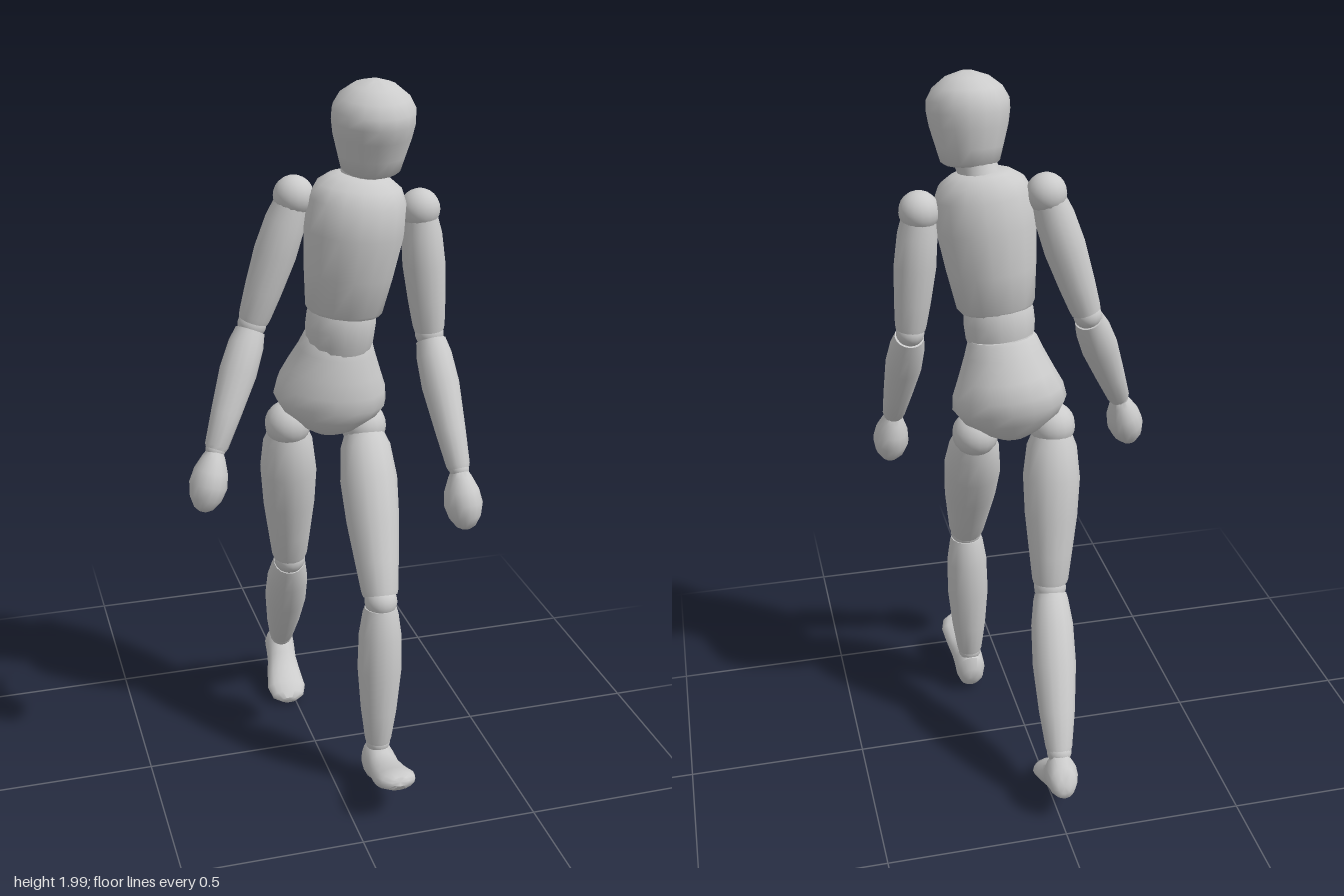
import * as THREE from 'three';
import { toCreasedNormals } from 'three/addons/utils/BufferGeometryUtils.js';

const V = (x, y, z) => new THREE.Vector3(x, y, z);
const material = new THREE.MeshStandardMaterial({ color: 0xcccccc });
const SIDES = 16;

// Closed loft along +y; each ring is [fraction, radiusX, radiusZ, offsetX, offsetZ]
function loft(rings, length) {
  const pos = [], index = [];
  const ringCentre = ([t, , , cx = 0, cz = 0]) => [cx, t * length, cz];
  for (const ring of rings) {
    const [cx, y, cz] = ringCentre(ring);
    const [, rx, rz = rx] = ring;
    for (let i = 0; i < SIDES; i++) {
      const a = (i / SIDES) * Math.PI * 2;
      pos.push(cx + rx * Math.cos(a), y, cz + rz * Math.sin(a));
    }
  }
  for (let j = 0; j < rings.length - 1; j++) {
    for (let i = 0; i < SIDES; i++) {
      const n = (i + 1) % SIDES;
      const a = j * SIDES + i, b = j * SIDES + n;
      index.push(a, a + SIDES, b, b, a + SIDES, b + SIDES);
    }
  }
  // End caps
  const low = pos.length / 3, high = low + 1, last = (rings.length - 1) * SIDES;
  pos.push(...ringCentre(rings[0]), ...ringCentre(rings[rings.length - 1]));
  for (let i = 0; i < SIDES; i++) {
    const n = (i + 1) % SIDES;
    index.push(low, i, n, high, last + n, last + i);
  }
  const g = new THREE.BufferGeometry();
  g.setAttribute('position', new THREE.Float32BufferAttribute(pos, 3));
  g.setIndex(index);
  return toCreasedNormals(g, 0.9);
}

function addMesh(parent, name, geometry) {
  const mesh = new THREE.Mesh(geometry, material);
  mesh.name = name;
  parent.add(mesh);
  return mesh;
}

// Loft standing on the line from bottom to top, turned about its own axis
function solid(parent, name, bottom, top, rings, yaw = 0) {
  const dir = top.clone().sub(bottom);
  const mesh = addMesh(parent, name, loft(rings, dir.length()));
  mesh.position.copy(bottom);
  mesh.quaternion.setFromUnitVectors(V(0, 1, 0), dir.normalize());
  mesh.quaternion.multiply(new THREE.Quaternion().setFromAxisAngle(V(0, 1, 0), yaw));
  return mesh;
}

function ball(parent, name, centre, radius) {
  addMesh(parent, name, new THREE.SphereGeometry(radius, 16, 12)).position.copy(centre);
}

// Limb profiles, from the lower end upwards
const UPPER_ARM = [[0, 0.04], [0.04, 0.043], [0.25, 0.05], [0.55, 0.057], [0.8, 0.054], [1, 0.042]];
const FOREARM = [[0, 0.028], [0.03, 0.032], [0.3, 0.041], [0.65, 0.051], [0.88, 0.048], [1, 0.04]];
const THIGH = [[0, 0.048], [0.03, 0.052], [0.2, 0.061], [0.45, 0.074], [0.7, 0.08], [0.9, 0.07], [1, 0.052]];
const SHIN = [[0, 0.034], [0.03, 0.038], [0.25, 0.051], [0.55, 0.062], [0.8, 0.06], [0.96, 0.05], [1, 0.045]];
const HAND = [[0, 0.012], [0.05, 0.028], [0.2, 0.046], [0.42, 0.056], [0.65, 0.05], [0.87, 0.034], [1, 0.022]];
// Foot rings from heel to toe; negative z offset is the height above the sole
const FOOT = [
  [0, 0.018, 0.022, 0, -0.045], [0.04, 0.035, 0.045, 0, -0.052], [0.14, 0.045, 0.062, 0, -0.063],
  [0.28, 0.045, 0.06, 0, -0.06], [0.42, 0.046, 0.044, 0, -0.046], [0.6, 0.053, 0.034, 0, -0.037],
  [0.8, 0.059, 0.03, 0, -0.034], [0.93, 0.049, 0.025, 0, -0.032], [1, 0.024, 0.012, 0, -0.032],
];

function arm(parent, side, shoulder, elbow, wrist, fingertip) {
  const g = new THREE.Group();
  g.name = side + 'Arm';
  parent.add(g);
  ball(g, 'shoulderJoint', shoulder, 0.054);
  solid(g, 'upperArm', elbow.clone().lerp(shoulder, 0.03), shoulder, UPPER_ARM);
  ball(g, 'elbowJoint', elbow, 0.039);
  solid(g, 'forearm', wrist, elbow.clone().lerp(wrist, 0.05), FOREARM);
  ball(g, 'wristJoint', wrist, 0.027);
  solid(g, 'hand', fingertip, wrist, HAND.map(([t, r]) => [t, r * 0.92, r * 1.05]));
}

function leg(parent, side, hip, knee, ankle, heel, toe) {
  const g = new THREE.Group();
  g.name = side + 'Leg';
  parent.add(g);
  ball(g, 'hipJoint', hip, 0.064);
  solid(g, 'thigh', knee.clone().lerp(hip, 0.03), hip.clone().lerp(knee, 0.03), THIGH);
  ball(g, 'kneeJoint', knee, 0.046);
  solid(g, 'shin', ankle, knee.clone().lerp(ankle, 0.04), SHIN);
  ball(g, 'ankleJoint', ankle, 0.035);
  const dir = toe.clone().sub(heel);
  const foot = addMesh(g, 'foot', loft(FOOT, dir.length()));
  const y = dir.normalize();
  const x = V(1, 0, 0).addScaledVector(y, -y.x).normalize();
  foot.quaternion.setFromRotationMatrix(
    new THREE.Matrix4().makeBasis(x, y, x.clone().cross(y)));
  foot.position.copy(heel);
}

export function createModel() {
  const model = new THREE.Group();
  model.name = 'walkingMannequin';

  // Head and neck
  solid(model, 'head', V(0.125, 1.767, 0.08), V(0.125, 2.0, 0.11), [
    [0, 0.066], [0.03, 0.077], [0.2, 0.088, 0.087], [0.42, 0.102, 0.104], [0.58, 0.108, 0.111, 0, 0.004],
    [0.7, 0.107, 0.109, 0, 0.003], [0.83, 0.09, 0.093], [0.94, 0.057], [1, 0.015],
  ], -0.15);
  solid(model, 'neck', V(0.102, 1.73, 0.05), V(0.12, 1.79, 0.068), [[0, 0.057], [0.5, 0.053], [1, 0.055]]);

  // Chest, waist and pelvis
  solid(model, 'chest', V(0.07, 1.385, 0.035), V(0.105, 1.757, 0.055), [
    [0, 0.098, 0.085], [0.025, 0.105, 0.091], [0.3, 0.12, 0.109, 0, 0.005], [0.6, 0.133, 0.121, 0, 0.01],
    [0.82, 0.129, 0.11, 0, 0.01], [0.92, 0.112, 0.09, 0, 0.005], [0.98, 0.08, 0.066], [1, 0.055, 0.05],
  ], -0.15);
  solid(model, 'waist', V(0.063, 1.28, 0.02), V(0.065, 1.4, 0.03),
    [[0, 0.084, 0.077], [0.2, 0.092, 0.083], [0.55, 0.096, 0.087], [0.85, 0.093, 0.084], [1, 0.086, 0.078]], -0.15);
  solid(model, 'pelvis', V(0.037, 1.028, -0.02), V(0.062, 1.312, 0.008), [
    [0, 0.045, 0.045], [0.08, 0.085, 0.083], [0.22, 0.136, 0.112, 0, -0.003], [0.34, 0.157, 0.125, 0, -0.006],
    [0.48, 0.151, 0.129, 0, -0.009], [0.65, 0.13, 0.119, 0, -0.008], [0.85, 0.106, 0.097],
    [0.97, 0.094, 0.085], [1, 0.088, 0.079],
  ], -0.15);

  // Limbs in mid stride
  arm(model, 'left', V(0.265, 1.655, 0.066), V(0.297, 1.315, 0.08), V(0.327, 0.99, 0.262), V(0.338, 0.832, 0.307));
  arm(model, 'right', V(-0.06, 1.697, 0.01), V(-0.172, 1.355, -0.005), V(-0.3, 1.05, 0.098), V(-0.347, 0.892, 0.137));
  leg(model, 'left', V(0.14, 1.035, -0.003), V(0.128, 0.597, 0.222), V(0.12, 0.155, 0.243),
    V(0.12, 0.015, 0.228), V(0.12, 0.125, 0.462));
  leg(model, 'right', V(-0.07, 1.05, -0.03), V(-0.045, 0.585, -0.12), V(-0.014, 0.19, -0.358),
    V(-0.008, 0.095, -0.462), V(-0.026, 0.003, -0.225));
  return model;
}
